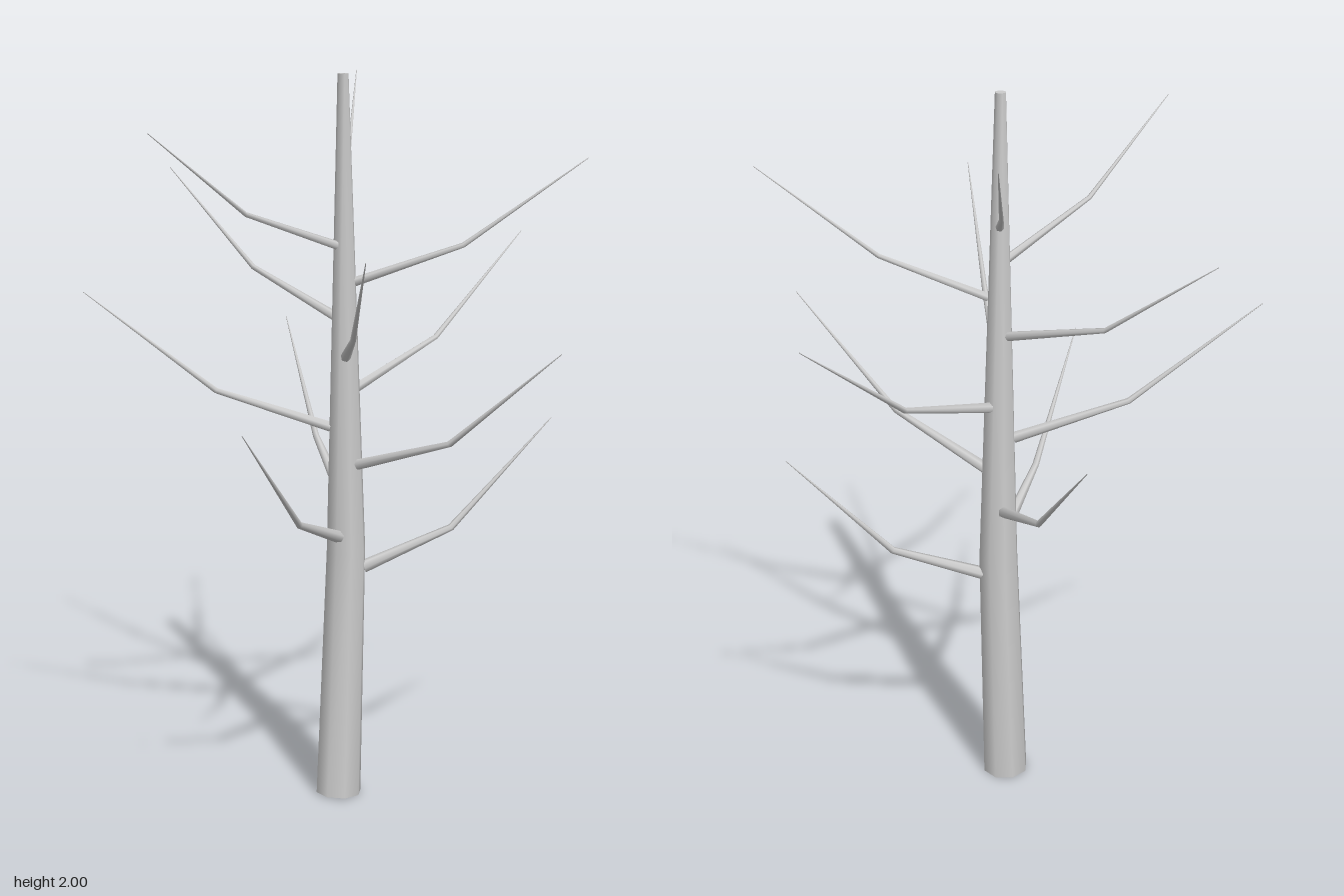
import * as THREE from 'three';

const bark = new THREE.MeshStandardMaterial({ color: 0xcccccc, side: THREE.DoubleSide });
bark.name = 'bark grey';

// Open tapered limb: one ring of vertices square to the path at each point
function limb(name, points, radii, sides) {
  const pos = [], index = [], up = new THREE.Vector3(0, 1, 0);
  points.forEach((p, i) => {
    const before = points[Math.max(i - 1, 0)];
    const after = points[Math.min(i + 1, points.length - 1)];
    const turn = new THREE.Quaternion().setFromUnitVectors(up, after.clone().sub(before).normalize());
    for (let j = 0; j < sides; j++) {
      const a = (j / sides) * Math.PI * 2;
      const v = new THREE.Vector3(Math.sin(a), 0, Math.cos(a)).multiplyScalar(radii[i]);
      pos.push(...v.applyQuaternion(turn).add(p).toArray());
      if (i === 0) continue;
      const k = (j + 1) % sides, lo = (i - 1) * sides, hi = i * sides;
      index.push(lo + j, lo + k, hi + k, lo + j, hi + k, hi + j);
    }
  });
  const geo = new THREE.BufferGeometry();
  geo.setAttribute('position', new THREE.Float32BufferAttribute(pos, 3));
  geo.setIndex(index);
  geo.computeVertexNormals();
  const mesh = new THREE.Mesh(geo, bark);
  mesh.name = name;
  return mesh;
}

// Trunk centre line, with a slight bend at 0.7
const trunkPath = [[0.006, 0, -0.004], [0.031, 0.7, -0.018], [0.014, 2, 0.009]]
  .map(p => new THREE.Vector3(...p));
const trunkRadii = [0.064, 0.055, 0.015];

function trunkAt(y) {
  const i = y < 0.7 ? 0 : 1;
  const t = (y - trunkPath[i].y) / (trunkPath[i + 1].y - trunkPath[i].y);
  return {
    centre: trunkPath[i].clone().lerp(trunkPath[i + 1], t),
    radius: THREE.MathUtils.lerp(trunkRadii[i], trunkRadii[i + 1], t),
  };
}

// Branches from the lowest up: elbow, then tip
const branches = [
  [[0.325, 0.75, 0.01], [0.605, 1.05, 0.033]],
  [[-0.16, 0.845, 0.21], [-0.365, 1.15, 0.44]],
  [[0.033, 0.95, -0.345], [0.03, 1.24, -0.675]],
  [[0.235, 1.05, 0.26], [0.44, 1.33, 0.527]],
  [[-0.31, 1.15, -0.105], [-0.65, 1.42, -0.195]],
  [[0.34, 1.25, -0.19], [0.65, 1.515, -0.357]],
  [[-0.05, 1.355, 0.335], [-0.115, 1.605, 0.672]],
  [[-0.155, 1.45, -0.31], [-0.327, 1.70, -0.605]],
  [[0.31, 1.555, 0.13], [0.603, 1.79, 0.265]],
  [[-0.275, 1.655, 0.12], [-0.55, 1.88, 0.245]],
  [[0.108, 1.76, -0.27], [0.207, 1.97, -0.537]],
];

export function createModel() {
  const tree = new THREE.Group();
  tree.name = 'bareTree';
  tree.add(limb('trunk', trunkPath, trunkRadii, 8));

  // Flat cut closing the top of the trunk
  const cut = new THREE.Mesh(new THREE.CircleGeometry(trunkRadii[2], 8), bark);
  cut.name = 'trunkTop';
  cut.rotation.x = -Math.PI / 2;
  cut.position.copy(trunkPath[2]);
  tree.add(cut);

  branches.forEach(([elbow, tip], i) => {
    const y = 0.65 + i * 0.1;
    const { centre, radius } = trunkAt(y);
    const out = new THREE.Vector3(tip[0] - centre.x, 0, tip[2] - centre.z).normalize();
    const root = centre.addScaledVector(out, radius * 0.9);
    const r = 0.018 - i * 0.0007;
    tree.add(limb('branch' + (i + 1),
      [root, new THREE.Vector3(...elbow), new THREE.Vector3(...tip)], [r, r * 0.55, 0.001], 6));
  });
  return tree;
}
